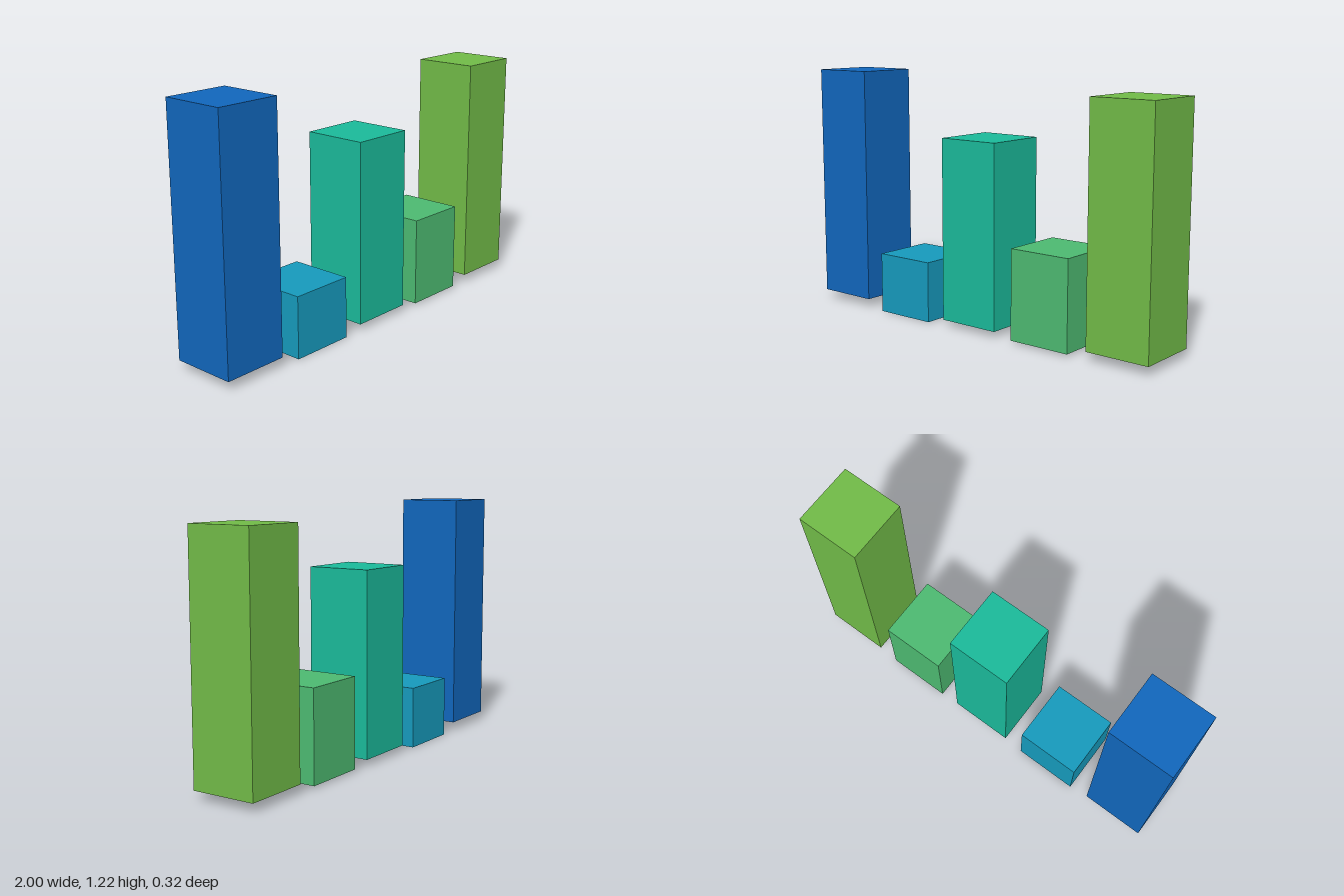
import * as THREE from 'three';

// Each bar: bottom, top and colour, from right (-x) to left (+x)
const BARS = [
  { name: 'blueBar', bottom: 0.045, top: 1.22, color: 0x1166bb },
  { name: 'cyanBar', bottom: 0, top: 0.302, color: 0x1699bb },
  { name: 'tealBar', bottom: 0.032, top: 0.925, color: 0x1ab899 },
  { name: 'greenBar', bottom: 0.01, top: 0.448, color: 0x4cb870 },
  { name: 'limeBar', bottom: 0.043, top: 1.164, color: 0x70b947 },
];
const WIDTH = 0.32;
const SPACING = 0.42;

export function createModel() {
  const group = new THREE.Group();
  group.name = 'barChart';

  // Row of square bars, evenly spaced along x
  BARS.forEach(({ name, bottom, top, color }, i) => {
    const bar = new THREE.Mesh(
      new THREE.BoxGeometry(WIDTH, top - bottom, WIDTH),
      new THREE.MeshStandardMaterial({ color })
    );
    bar.name = name;
    bar.position.set((i - 2) * SPACING, (top + bottom) / 2, 0);
    group.add(bar);
  });

  return group;
}
